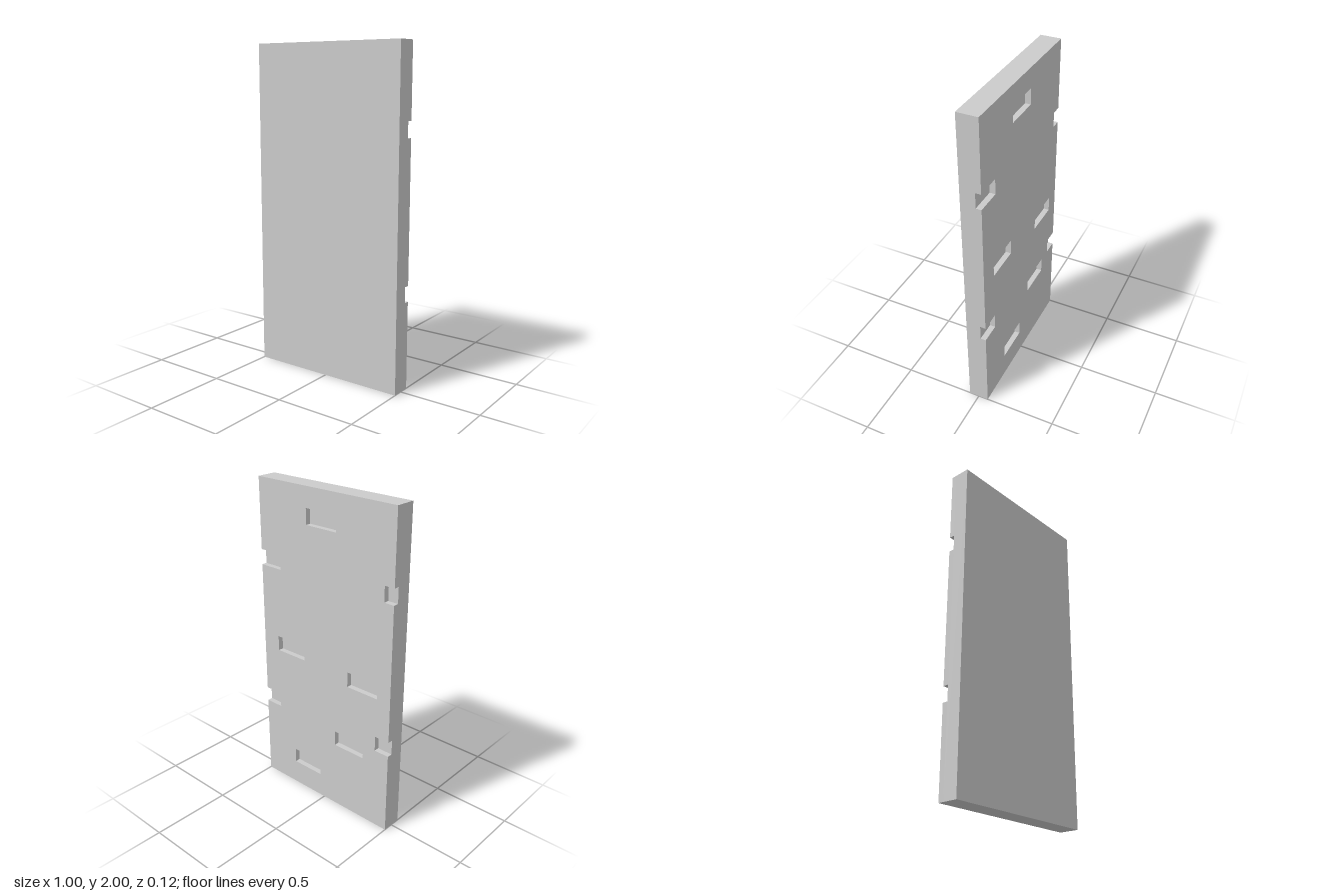
import * as THREE from 'three';

const W = 0.5, H = 2, T = 0.125;          // half width, height, thickness
const POCKET_W = 0.222, POCKET_H = 0.095, POCKET_D = 0.034;

// Enclosed pockets: [centre x, centre y]
const POCKETS = [
  [0.018, 1.83], [0.269, 0.981], [-0.296, 0.923], [-0.202, 0.483], [0.143, 0.205],
];

// Pockets running off both side edges: [bottom y, depth in from +x, depth in from -x]
const NOTCHES = [
  [0.53, 0.122, 0.098],
  [1.47, 0.157, 0.065],
];

export function createModel() {
  const model = new THREE.Group();
  const material = new THREE.MeshStandardMaterial({ color: 0xcccccc });
  const add = (name, geometry, x, y, z) => {
    const mesh = new THREE.Mesh(geometry, material);
    mesh.name = name;
    mesh.position.set(x, y, z);
    model.add(mesh);
  };

  // Solid front part, whose back is the floor of the pockets
  const frontDepth = T - POCKET_D;
  add('frontSlab', new THREE.BoxGeometry(2 * W, H, frontDepth), 0, H / 2, T / 2 - frontDepth / 2);

  // Back layer outline, notched up the +x edge and down the -x edge
  const outline = [[-W, 0], [W, 0]];
  for (const [y, d] of NOTCHES) {
    outline.push([W, y], [W - d, y], [W - d, y + POCKET_H], [W, y + POCKET_H]);
  }
  outline.push([W, H], [-W, H]);
  for (const [y, , d] of [...NOTCHES].reverse()) {
    outline.push([-W, y + POCKET_H], [d - W, y + POCKET_H], [d - W, y], [-W, y]);
  }
  const shape = new THREE.Shape(outline.map(([x, y]) => new THREE.Vector2(x, y)));

  // Rectangular pockets cut through the back layer
  for (const [x, y] of POCKETS) {
    const w = POCKET_W / 2, h = POCKET_H / 2;
    shape.holes.push(new THREE.Path([
      new THREE.Vector2(x - w, y - h), new THREE.Vector2(x - w, y + h),
      new THREE.Vector2(x + w, y + h), new THREE.Vector2(x + w, y - h),
    ]));
  }
  const layer = new THREE.ExtrudeGeometry(shape, { depth: POCKET_D, bevelEnabled: false });
  add('pocketedBackLayer', layer, 0, 0, -T / 2);

  return model;
}
